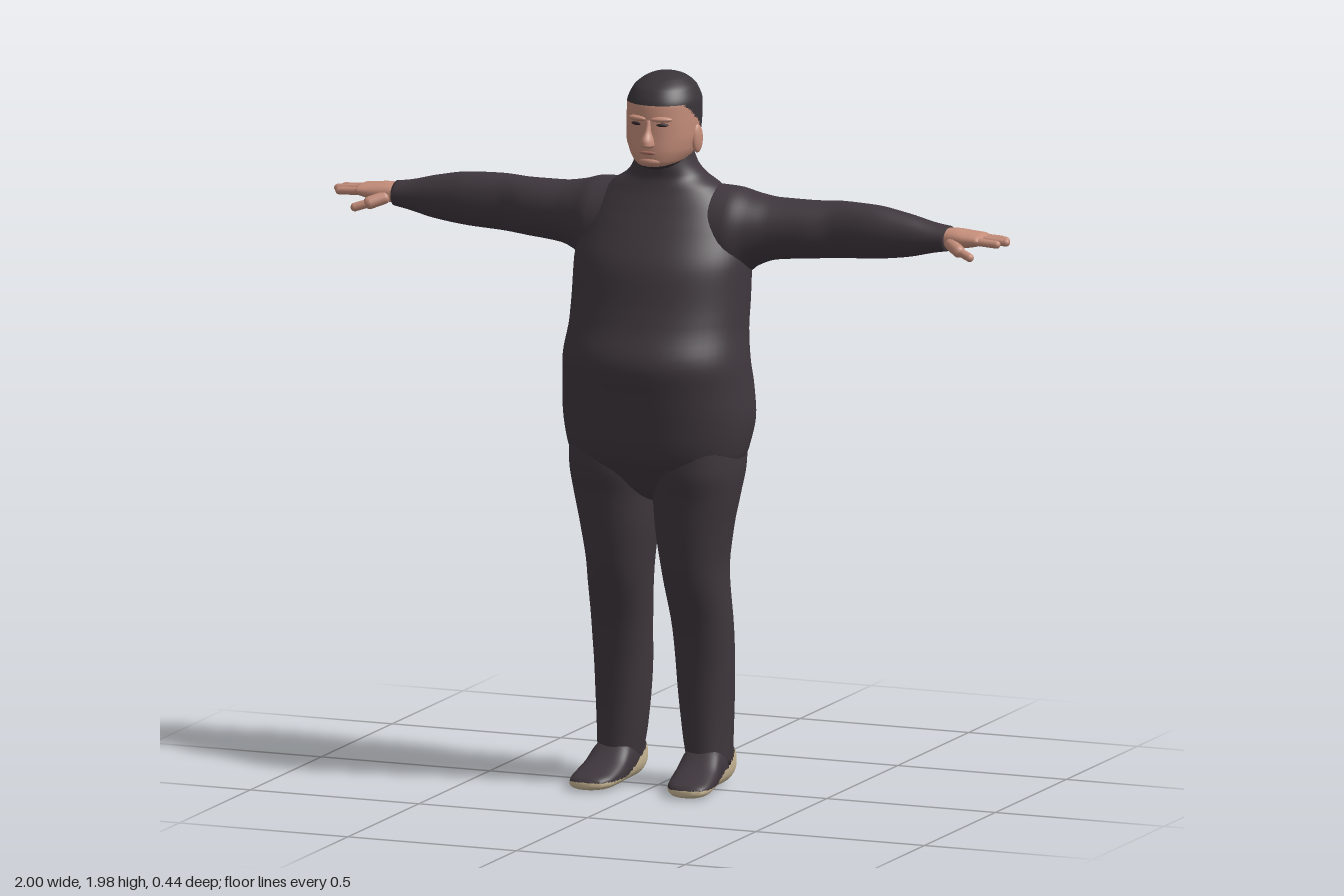
import * as THREE from 'three';

const mat = (name, color) => {
  const m = new THREE.MeshStandardMaterial({ color });
  m.name = name;
  return m;
};

// Harmonic-mean cubic interpolation of one column of the section table
function sample(rows, col, i, f) {
  const slope = k => (rows[k + 1][col] - rows[k][col]) / (rows[k + 1][0] - rows[k][0]);
  const tangent = k => {
    if (k === 0) return slope(0);
    if (k === rows.length - 1) return slope(k - 1);
    const a = slope(k - 1), b = slope(k);
    return a * b <= 0 ? 0 : (2 * a * b) / (a + b);
  };
  const h = rows[i + 1][0] - rows[i][0], f2 = f * f, f3 = f2 * f;
  return (2 * f3 - 3 * f2 + 1) * rows[i][col] + (f3 - 2 * f2 + f) * h * tangent(i)
    + (3 * f2 - 2 * f3) * rows[i + 1][col] + (f3 - f2) * h * tangent(i + 1);
}

// Loft of rounded sections; each row is [t, aMin, aMax, bMin, bMax].
// Axis order (t, a, b): 'y' -> y,z,x   'x' -> x,y,z   'z' -> z,x,y
function loft(axis, rows, { n = 40, steps = 5, power = 2, side = 1, pick = () => 0 } = {}) {
  const place = { y: (t, a, b) => [b, t, a], x: (t, a, b) => [t, a, b], z: (t, a, b) => [a, b, t] }[axis];
  const pos = [], add = (t, a, b) => { const p = place(t, a, b); pos.push(p[0] * side, p[1], p[2]); };
  const last = rows.length - 1;
  let rings = 0;
  for (let i = 0; i < last; i++) {
    for (let s = 0; s < steps + (i === last - 1 ? 1 : 0); s++, rings++) {
      const f = s / steps, t = rows[i][0] + (rows[i + 1][0] - rows[i][0]) * f;
      const [a0, a1, b0, b1] = [1, 2, 3, 4].map(c => sample(rows, c, i, f));
      for (let j = 0; j < n; j++) {
        const w = (j / n) * Math.PI * 2, c = Math.cos(w), d = Math.sin(w);
        const r = v => Math.sign(v) * Math.pow(Math.abs(v), 2 / power);
        add(t, (a0 + a1) / 2 + r(c) * (a1 - a0) / 2, (b0 + b1) / 2 + r(d) * (b1 - b0) / 2);
      }
    }
  }
  for (const r of [rows[0], rows[last]]) add(r[0], (r[1] + r[2]) / 2, (r[3] + r[4]) / 2);
  const lists = [[], []], start = rings * n;
  const tri = (a, b, c) => {
    const m = k => (pos[a * 3 + k] + pos[b * 3 + k] + pos[c * 3 + k]) / 3;
    lists[pick(m(0), m(1), m(2))].push(...(side > 0 ? [a, b, c] : [a, c, b]));
  };
  for (let j = 0; j < n; j++) {
    const k = (j + 1) % n;
    tri(start, k, j);
    for (let i = 0; i < rings - 1; i++) {
      const p = i * n + j, q = i * n + k;
      tri(p, q, q + n);
      tri(p, q + n, p + n);
    }
    tri(start + 1, (rings - 1) * n + j, (rings - 1) * n + k);
  }
  const g = new THREE.BufferGeometry();
  g.setAttribute('position', new THREE.Float32BufferAttribute(pos, 3));
  g.setIndex([...lists[0], ...lists[1]]);
  g.addGroup(0, lists[0].length, 0);
  g.addGroup(lists[0].length, lists[1].length, 1);
  g.computeVertexNormals();
  return g;
}

export function createModel() {
  const model = new THREE.Group();
  const suit = mat('suit', 0x3f373d), hair = mat('hair', 0x393438), skin = mat('skin', 0xc48d7a);
  const sole = mat('sole', 0xc9b795), dark = mat('eyeDark', 0x33262a), lip = mat('lip', 0xa46c60);
  const part = (name, geometry, material, parent = model) => {
    const m = new THREE.Mesh(geometry, material);
    m.name = name;
    parent.add(m);
    return m;
  };
  const blob = (name, material, p, r, parent) => {
    const m = part(name, new THREE.SphereGeometry(1, 20, 14), material, parent);
    m.position.set(...p);
    m.scale.set(...r);
    return m;
  };

  // Torso and neck
  part('torso', loft('y', [
    [0.79, 0, 0.01, -0.01, 0.01],
    [0.82, -0.07, 0.08, -0.1, 0.1],
    [0.88, -0.13, 0.135, -0.21, 0.21],
    [0.95, -0.185, 0.18, -0.255, 0.255],
    [1.05, -0.217, 0.2, -0.27, 0.27],
    [1.12, -0.217, 0.213, -0.266, 0.266],
    [1.2, -0.203, 0.226, -0.26, 0.26],
    [1.3, -0.208, 0.19, -0.25, 0.25],
    [1.36, -0.215, 0.172, -0.25, 0.25],
    [1.46, -0.218, 0.148, -0.25, 0.25],
    [1.555, -0.2, 0.098, -0.228, 0.228],
    [1.62, -0.182, 0.06, -0.2, 0.2],
    [1.67, -0.163, 0.035, -0.155, 0.155],
    [1.7, -0.15, 0.027, -0.11, 0.11],
    [1.73, -0.137, 0.03, -0.088, 0.088],
    [1.77, -0.125, 0.03, -0.075, 0.075],
  ], { n: 56, power: 2.15 }), suit);

  // Head: hair over the crown and back, skin on the face
  const head = new THREE.Group();
  head.name = 'head';
  model.add(head);
  const isFace = (x, y, z) =>
    z > -0.055 && y < 1.905 - Math.max(0, 0.02 - z) * 0.8 && y > 1.733 + (0.07 - z) * 0.2 ? 1 : 0;
  part('skull', loft('y', [
    [1.722, -0.07, 0.035, -0.035, 0.035],
    [1.733, -0.105, 0.062, -0.056, 0.056],
    [1.75, -0.125, 0.072, -0.074, 0.074],
    [1.78, -0.142, 0.075, -0.09, 0.09],
    [1.82, -0.153, 0.073, -0.098, 0.098],
    [1.86, -0.159, 0.071, -0.1, 0.1],
    [1.9, -0.16, 0.068, -0.1, 0.1],
    [1.94, -0.147, 0.048, -0.086, 0.086],
    [1.965, -0.12, 0.012, -0.06, 0.06],
    [1.977, -0.09, -0.025, -0.032, 0.032],
    [1.981, -0.062, -0.05, -0.006, 0.006],
  ], { n: 72, steps: 8, power: 2.1, pick: isFace }), [hair, skin], head);
  part('nose', loft('y', [
    [1.788, 0.05, 0.075, -0.012, 0.012],
    [1.797, 0.05, 0.102, -0.02, 0.02],
    [1.81, 0.05, 0.101, -0.018, 0.018],
    [1.835, 0.05, 0.085, -0.01, 0.01],
    [1.865, 0.05, 0.073, -0.008, 0.008],
  ], { n: 20 }), skin, head);
  blob('chin', skin, [0, 1.75, 0.052], [0.036, 0.016, 0.025], head);
  blob('mouth', lip, [0, 1.775, 0.074], [0.024, 0.005, 0.005], head);
  for (const s of [1, -1]) {
    blob('ear', skin, [s * 0.099, 1.803, -0.04], [0.011, 0.04, 0.021], head).rotation.y = s * -0.25;
    blob('eye', dark, [s * 0.038, 1.853, 0.062], [0.017, 0.005, 0.007], head).rotation.y = s * 0.3;
    blob('brow', skin, [s * 0.036, 1.868, 0.062], [0.03, 0.008, 0.011], head).rotation.y = s * 0.3;
  }

  for (const side of [1, -1]) {
    const label = side > 0 ? 'left' : 'right';
    // Leg
    part(label + 'Leg', loft('y', [
      [0.06, -0.125, 0.03, 0.076, 0.19],
      [0.15, -0.13, 0.03, 0.06, 0.194],
      [0.3, -0.128, 0.034, 0.044, 0.2],
      [0.44, -0.116, 0.052, 0.037, 0.203],
      [0.6, -0.101, 0.1, 0.022, 0.201],
      [0.73, -0.106, 0.122, 0.006, 0.217],
      [0.82, -0.118, 0.133, 0, 0.235],
      [0.9, -0.142, 0.147, -0.005, 0.247],
      [1.0, -0.15, 0.14, 0.02, 0.25],
    ], { side, power: 2.15 }), suit);
    // Foot with a pale sole rising toward the heel
    const isSole = (x, y, z) => (y < 0.025 + Math.max(0, 0.03 - z) * 0.45 ? 1 : 0);
    part(label + 'Foot', loft('z', [
      [-0.143, 0.11, 0.155, 0.03, 0.075],
      [-0.13, 0.085, 0.178, 0.01, 0.11],
      [-0.08, 0.075, 0.188, 0, 0.13],
      [0, 0.073, 0.192, 0, 0.12],
      [0.06, 0.073, 0.2, 0, 0.078],
      [0.12, 0.08, 0.205, 0, 0.052],
      [0.16, 0.1, 0.196, 0.003, 0.038],
      [0.173, 0.13, 0.17, 0.01, 0.026],
    ], { side, n: 56, power: 2.5, pick: isSole }), [suit, sole]);
    // Sleeve
    part(label + 'Arm', loft('x', [
      [0.1, 1.36, 1.675, -0.19, 0.05],
      [0.2, 1.4, 1.67, -0.198, 0.045],
      [0.26, 1.452, 1.654, -0.188, 0.018],
      [0.32, 1.474, 1.645, -0.178, -0.005],
      [0.42, 1.483, 1.644, -0.168, -0.024],
      [0.5, 1.49, 1.648, -0.158, -0.042],
      [0.6, 1.496, 1.645, -0.156, -0.04],
      [0.7, 1.508, 1.628, -0.152, -0.047],
      [0.78, 1.526, 1.608, -0.148, -0.056],
      [0.82, 1.533, 1.602, -0.146, -0.06],
    ], { side }), suit);
    // Hand with four fingers and a lowered thumb
    const hand = new THREE.Group();
    hand.name = label + 'Hand';
    model.add(hand);
    part('palm', loft('x', [
      [0.8, 1.542, 1.596, -0.138, -0.066],
      [0.84, 1.544, 1.598, -0.144, -0.058],
      [0.88, 1.548, 1.594, -0.152, -0.053],
      [0.915, 1.556, 1.59, -0.152, -0.052],
      [0.93, 1.565, 1.582, -0.145, -0.06],
    ], { side, n: 28, power: 2.3 }), skin, hand);
    const finger = (name, from, to, r) => {
      const a = new THREE.Vector3(...from), b = new THREE.Vector3(...to);
      a.x *= side;
      b.x *= side;
      const dir = b.clone().sub(a);
      const m = part(name, new THREE.CapsuleGeometry(r, dir.length() - r, 5, 12), skin, hand);
      m.position.copy(a).add(b).multiplyScalar(0.5);
      m.quaternion.setFromUnitVectors(new THREE.Vector3(0, 1, 0), dir.normalize());
    };
    finger('littleFinger', [0.89, 1.573, -0.14], [0.962, 1.568, -0.149], 0.0095);
    finger('ringFinger', [0.9, 1.575, -0.117], [0.985, 1.57, -0.123], 0.011);
    finger('middleFinger', [0.9, 1.575, -0.092], [0.996, 1.57, -0.097], 0.011);
    finger('indexFinger', [0.9, 1.573, -0.066], [0.98, 1.568, -0.069], 0.011);
    finger('thumb', [0.835, 1.562, -0.07], [0.88, 1.545, -0.036], 0.018);
    finger('thumbTip', [0.875, 1.547, -0.04], [0.917, 1.533, -0.026], 0.012);
  }
  return model;
}
